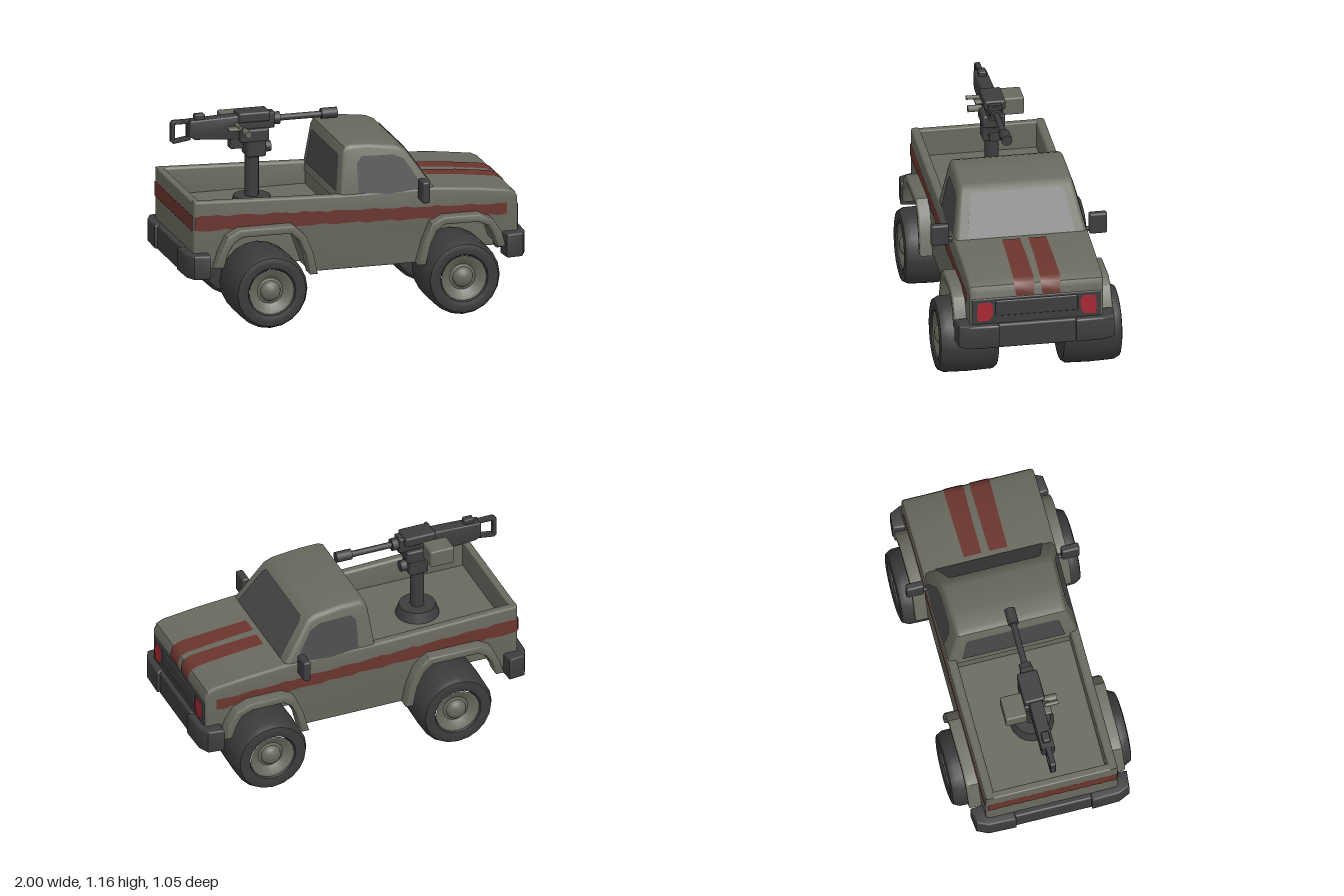
import * as THREE from 'three';
import { toCreasedNormals } from 'three/addons/utils/BufferGeometryUtils.js';
import { RoundedBoxGeometry } from 'three/addons/geometries/RoundedBoxGeometry.js';

const material = (name, color, side = THREE.FrontSide) => {
  const m = new THREE.MeshStandardMaterial({ color, side });
  m.name = name;
  return m;
};

export function createModel() {
  const truck = new THREE.Group();
  truck.name = 'pickupTruck';
  const paint = material('olive grey paint', 0x69695f);
  const dark = material('dark trim', 0x3d3d3f);
  const rubber = material('tyre rubber', 0x3a3a3a);
  const glass = material('dark glass', 0x484848, THREE.DoubleSide);
  const rust = material('rust red stripe', 0x6a352d, THREE.DoubleSide);
  const lamp = material('lamp red', 0xa82832, THREE.DoubleSide);

  const add = (name, geo, mat, x = 0, y = 0, z = 0, parent = truck) => {
    const mesh = new THREE.Mesh(geo, mat);
    mesh.name = name;
    mesh.position.set(x, y, z);
    parent.add(mesh);
    return mesh;
  };
  const box = (name, mat, x0, x1, y0, y1, z0, z1, r = 0.008) =>
    add(name, new RoundedBoxGeometry(x1 - x0, y1 - y0, z1 - z0, 2, r), mat, (x0 + x1) / 2, (y0 + y1) / 2, (z0 + z1) / 2);
  const shapeOf = pts => new THREE.Shape(pts.map(p => new THREE.Vector2(...p)));
  // extrude a side profile from z0 to z1, keeping its outline when bevelled
  const extrude = (shape, z0, z1, b = 0) => {
    const g = new THREE.ExtrudeGeometry(shape, {
      depth: z1 - z0 - 2 * b, bevelEnabled: b > 0, bevelSize: b, bevelThickness: b, bevelOffset: -b, bevelSegments: 3,
    });
    return toCreasedNormals(g.translate(0, 0, z0 + b), 0.6);
  };
  // flat panel from a loop of 3D corners
  const panel = (name, pts, mat) => {
    const g = new THREE.BufferGeometry().setFromPoints(pts.map(p => new THREE.Vector3(...p)));
    g.setIndex(pts.slice(2).flatMap((_, i) => [0, i + 1, i + 2]));
    g.computeVertexNormals();
    return add(name, g, mat);
  };
  // ribbon between two rows of points
  const ribbon = (name, a, b, mat) => {
    const n = a.length;
    const g = new THREE.BufferGeometry().setFromPoints([...a, ...b].map(p => new THREE.Vector3(...p)));
    g.setIndex(a.slice(1).flatMap((_, i) => [i, n + i, i + 1, i + 1, n + i, n + i + 1]));
    g.computeVertexNormals();
    return add(name, g, mat);
  };
  const cylX = (name, mat, r, x0, x1, y, z, seg = 14) =>
    add(name, new THREE.CylinderGeometry(r, r, x1 - x0, seg).rotateZ(Math.PI / 2), mat, (x0 + x1) / 2, y, z);

  // Body: arched lower edge shared by outer panels and inner core
  const hood = [[0.46, 0.73], [0.7, 0.71], [0.9, 0.685], [0.94, 0.665], [0.955, 0.63], [0.955, 0.44]];
  const belly = [[0.9, 0.36], [0.84, 0.36], [0.8, 0.47], [0.71, 0.53], [0.5, 0.53], [0.43, 0.48], [0.36, 0.295],
    [-0.26, 0.295], [-0.32, 0.47], [-0.39, 0.55], [-0.69, 0.55], [-0.76, 0.5], [-0.81, 0.36], [-0.95, 0.36]];
  const side = shapeOf([[-0.95, 0.76], [-0.08, 0.73], ...hood, ...belly]);
  const core = shapeOf([[-0.95, 0.6], [-0.085, 0.6], [-0.085, 0.72], ...hood, ...belly]);
  add('leftSidePanel', extrude(side, 0.33, 0.383, 0.015), paint);
  add('rightSidePanel', extrude(side, -0.383, -0.33, 0.015), paint);
  add('bodyCore', extrude(core, -0.36, 0.36), paint);
  box('chassis', paint, -0.9, 0.9, 0.3, 0.58, -0.18, 0.18);
  box('tailgate', paint, -0.952, -0.91, 0.36, 0.758, -0.365, 0.365);

  // Cab: extruded, then narrowed toward the roof
  const taper = y => 1 - 0.57 * (y - 0.72);
  const cab = extrude(shapeOf([[-0.09, 0.68], [-0.06, 0.95], [-0.045, 0.99], [-0.01, 1.003], [0.1, 1.0],
    [0.26, 0.98], [0.31, 0.955], [0.465, 0.73], [0.48, 0.68]]), -0.378, 0.378, 0.025);
  const pos = cab.attributes.position;
  for (let i = 0; i < pos.count; i++) pos.setZ(i, pos.getZ(i) * taper(pos.getY(i)));
  add('cab', toCreasedNormals(cab, 0.6), paint);

  // Windows
  const sideWindow = [[0.02, 0.73], [0.02, 0.9], [0.05, 0.935], [0.24, 0.93], [0.3, 0.9], [0.38, 0.77], [0.4, 0.73], [0.2, 0.715]];
  for (const s of [1, -1])
    panel(s > 0 ? 'leftWindow' : 'rightWindow', sideWindow.map(([x, y]) => [x, y, s * (0.378 * taper(y) + 0.004)]), glass);
  panel('windscreen', [[0.735, 0.31], [0.82, 0.29], [0.93, 0.27], [0.95, 0.25], [0.95, -0.25], [0.93, -0.27],
    [0.82, -0.29], [0.735, -0.31]].map(([y, z]) => [0.318 + (0.955 - y) * 0.689, y, z]), glass);
  panel('rearWindow', [[0.73, -0.3], [0.92, -0.27], [0.935, -0.25], [0.935, 0.25], [0.92, 0.27], [0.73, 0.3]]
    .map(([y, z]) => [-0.094 + (y - 0.68) * 0.111, y, z]), glass);

  // Painted stripes with ragged edges
  const steps = Array.from({ length: 41 }, (_, i) => i / 40);
  const rag = t => 0.004 * Math.sin(t * 61) + 0.003 * Math.sin(t * 117 + 1);
  for (const s of [1, -1]) {
    const edge = d => steps.map(t => [-0.945 + 1.835 * t, 0.634 - 0.062 * t + d * (0.044 - 0.013 * t) + rag(t + d), s * 0.386]);
    ribbon(s > 0 ? 'leftStripe' : 'rightStripe', edge(s), edge(-s), rust);
  }
  const tailEdge = d => steps.map(t => [-0.956, 0.634 + d * 0.044 + rag(t + d), -0.375 + 0.75 * t]);
  ribbon('tailgateStripe', tailEdge(1), tailEdge(-1), rust);
  const hoodLine = [[0.5, 0.731], [0.7, 0.714], [0.9, 0.689], [0.943, 0.669], [0.959, 0.632], [0.959, 0.6]];
  for (const [z0, z1] of [[0.012, 0.122], [-0.138, -0.03]]) {
    const edge = z => hoodLine.map(([x, y], i) => [x, y, z + 0.004 * Math.sin(i * 5 + z * 40)]);
    ribbon('hoodStripe', edge(z0), edge(z1), rust);
  }

  // Front face: dark surround, grille and lamps
  box('frontSurround', dark, 0.93, 0.96, 0.42, 0.595, -0.37, 0.37);
  box('grille', dark, 0.94, 0.967, 0.485, 0.58, -0.235, 0.235);
  for (const s of [1, -1])
    panel('headlamp', [[0.27, 0.575], [0.335, 0.57], [0.343, 0.5], [0.335, 0.455], [0.27, 0.462], [0.252, 0.49], [0.25, 0.55]]
      .map(([z, y]) => [0.964, y, z * s]), lamp);

  // Bumpers with wrap-around corners
  const corner = shapeOf([[0.9, 0.22], [1, 0.22], [0.995, 0.38], [0.965, 0.445], [0.87, 0.455], [0.86, 0.36]]);
  for (const [end, y0, y1] of [[1, 0.3, 0.44], [-1, 0.32, 0.46]]) {
    const name = end > 0 ? 'frontBumper' : 'rearBumper';
    box(name, dark, end > 0 ? 0.87 : -0.985, end > 0 ? 0.985 : -0.87, y0 - 0.005, y1, -0.225, 0.225, 0.012);
    for (const s of [1, -1]) {
      const c = add(name + 'Corner', extrude(corner, y0, y1, 0.012).rotateX(-Math.PI / 2), dark);
      c.scale.set(end, 1, s);
    }
  }

  // Wheel arch flares
  const flares = {
    front: [[0.35, 0.3], [0.385, 0.43], [0.43, 0.535], [0.5, 0.572], [0.71, 0.572], [0.79, 0.535], [0.84, 0.46], [0.865, 0.37],
      [0.82, 0.37], [0.79, 0.45], [0.76, 0.5], [0.7, 0.527], [0.51, 0.527], [0.46, 0.495], [0.425, 0.42], [0.395, 0.3]],
    rear: [[-0.24, 0.3], [-0.265, 0.42], [-0.31, 0.53], [-0.38, 0.595], [-0.7, 0.595], [-0.77, 0.555], [-0.81, 0.47], [-0.84, 0.38],
      [-0.79, 0.38], [-0.77, 0.46], [-0.73, 0.52], [-0.68, 0.55], [-0.4, 0.55], [-0.35, 0.505], [-0.31, 0.42], [-0.285, 0.3]],
  };
  for (const [end, pts] of Object.entries(flares))
    for (const [z0, z1] of [[0.35, 0.455], [-0.455, -0.35]])
      add(end + 'Flare', extrude(shapeOf(pts), z0, z1, 0.01), paint);

  // Wheels and axles
  const lathe = (pts, seg) => toCreasedNormals(
    new THREE.LatheGeometry(pts.map(p => new THREE.Vector2(...p)), seg).rotateX(Math.PI / 2), 0.7);
  const tyre = lathe([[0.0, -0.17], [0.17, -0.17], [0.2, -0.165], [0.218, -0.14], [0.222, 0], [0.218, 0.13],
    [0.2, 0.165], [0.17, 0.172], [0.14, 0.165], [0.128, 0.14]], 20);
  const hub = lathe([[0.132, 0.157], [0.12, 0.155], [0.075, 0.125], [0.06, 0.13], [0.052, 0.152], [0.03, 0.165], [0, 0.168]], 20);
  for (const [end, x, y] of [['front', 0.6, 0.222], ['rear', -0.53, 0.235]]) {
    for (const s of [1, -1]) {
      const wheel = new THREE.Group();
      wheel.name = end + (s > 0 ? 'LeftWheel' : 'RightWheel');
      add('tyre', tyre, rubber, 0, 0, 0, wheel);
      add('hub', hub, paint, 0, 0, 0, wheel);
      wheel.position.set(x, y, s * 0.352);
      if (s < 0) wheel.rotation.y = Math.PI;
      truck.add(wheel);
    }
    add(end + 'Axle', new THREE.CylinderGeometry(0.054, 0.054, 0.5, 14).rotateX(Math.PI / 2), dark, x, y, 0);
  }

  // Door mirrors
  for (const s of [1, -1]) {
    const z = s * 0.452;
    box('mirror', dark, 0.36, 0.405, 0.675, 0.8, z - 0.052, z + 0.052, 0.012);
    box('mirrorArm', dark, 0.37, 0.395, 0.69, 0.715, s * 0.385 - 0.035, s * 0.385 + 0.035);
  }

  // Gun mount
  add('mountBase', new THREE.CylinderGeometry(0.105, 0.125, 0.06, 18), dark, -0.495, 0.63, 0);
  add('mountPost', new THREE.CylinderGeometry(0.04, 0.04, 0.28, 14), dark, -0.495, 0.78, 0);
  box('mountHead', dark, -0.54, -0.425, 0.895, 1.0, -0.062, 0.062, 0.015);
  cylX('mountKnob', dark, 0.032, -0.43, -0.388, 0.94, 0);
  box('cradle', dark, -0.58, -0.41, 0.985, 1.06, -0.065, 0.065, 0.012);
  box('cradleStop', dark, -0.63, -0.55, 0.945, 1.02, -0.03, 0.03);

  // Gun body, handle and barrel
  add('receiver', extrude(shapeOf([[-0.87, 1.13], [-0.6, 1.14], [-0.37, 1.145], [-0.37, 1.055], [-0.52, 1.04],
    [-0.58, 1.0], [-0.84, 1.02], [-0.87, 1.04]]), -0.038, 0.038, 0.008), dark);
  const grip = shapeOf([[-0.96, 1.0], [-0.86, 1.015], [-0.86, 1.135], [-0.96, 1.135], [-0.975, 1.12], [-0.975, 1.015]]);
  grip.holes.push(new THREE.Path([[-0.95, 1.025], [-0.95, 1.112], [-0.88, 1.112], [-0.88, 1.035]].map(p => new THREE.Vector2(...p))));
  add('rearHandle', extrude(grip, -0.016, 0.016, 0.004), dark);
  cylX('barrelJacket', dark, 0.036, -0.38, -0.335, 1.1, 0);
  cylX('barrel', dark, 0.018, -0.34, -0.08, 1.1, 0);
  cylX('muzzle', dark, 0.031, -0.09, 0.003, 1.103, 0);
  box('rearSight', dark, -0.835, -0.775, 1.12, 1.163, -0.022, 0.022);
  box('feedCover', dark, -0.585, -0.4, 1.1, 1.158, -0.065, 0.055, 0.012);
  box('ammoBox', paint, -0.645, -0.5, 1.015, 1.12, -0.188, -0.065, 0.01);
  box('feedTray', paint, -0.65, -0.57, 1.06, 1.08, 0.03, 0.08);
  for (const [x, y, r] of [[-0.6, 1.095, 0.012], [-0.55, 1.05, 0.02]])
    add('sidePin', new THREE.CylinderGeometry(r, r, 0.08, 10).rotateX(Math.PI / 2), paint, x, y, 0.088);
  return truck;
}
